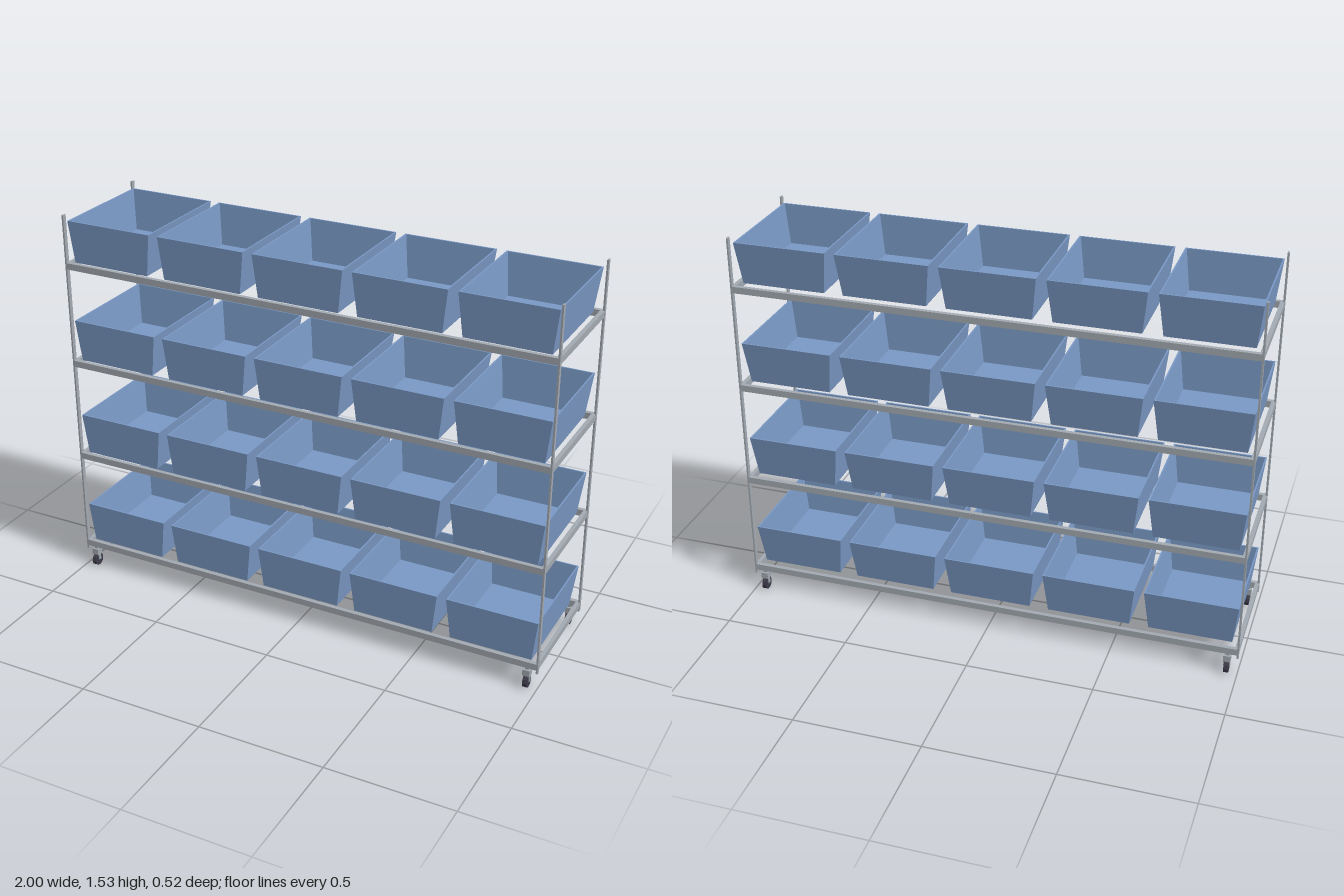
import * as THREE from 'three';

const frameMat = new THREE.MeshStandardMaterial({ color: 0xa3aab2 });
frameMat.name = 'galvanised grey';
const binMat = new THREE.MeshStandardMaterial({ color: 0x7a99c5, flatShading: true });
binMat.name = 'bin blue';
const tyreMat = new THREE.MeshStandardMaterial({ color: 0x3c3a48, flatShading: true });
tyreMat.name = 'tyre dark';

function mesh(name, geometry, material, x = 0, y = 0, z = 0) {
  const m = new THREE.Mesh(geometry, material);
  m.name = name;
  m.position.set(x, y, z);
  return m;
}

function box(name, w, h, d, x, y, z) {
  return mesh(name, new THREE.BoxGeometry(w, h, d), frameMat, x, y, z);
}

// Open tapered tub: rectangular rings run up the outside, over the rim and down the inside
function binGeometry() {
  const t = 0.006;
  const rings = [ // half width, back z, front z, height
    [0.163, -0.2, 0.224, 0],
    [0.182, -0.222, 0.231, 0.167],
    [0.182 - t, -0.222 + t, 0.231 - t, 0.167],
    [0.163 - t, -0.2 + t, 0.224 - t, t],
  ];
  const pos = [], idx = [];
  for (const [w, b, f, y] of rings) pos.push(-w, y, f, w, y, f, w, y, b, -w, y, b);
  for (let r = 0; r < 3; r++) {
    for (let i = 0; i < 4; i++) {
      const a = r * 4 + i, b = r * 4 + (i + 1) % 4;
      idx.push(a, b, b + 4, a, b + 4, a + 4);
    }
  }
  idx.push(0, 2, 1, 0, 3, 2, 12, 13, 14, 12, 14, 15); // underside and floor
  const g = new THREE.BufferGeometry();
  g.setAttribute('position', new THREE.Float32BufferAttribute(pos, 3));
  g.setIndex(idx);
  const flat = g.toNonIndexed();
  flat.computeVertexNormals();
  return flat;
}

function caster() {
  const g = new THREE.Group();
  g.name = 'caster';
  const wheel = new THREE.CylinderGeometry(0.026, 0.026, 0.018, 10).rotateZ(Math.PI / 2);
  g.add(mesh('wheel', wheel, tyreMat, 0, 0.026, 0));
  g.add(box('forkTop', 0.028, 0.026, 0.03, 0, 0.067, 0));
  for (const s of [-1, 1]) g.add(box('forkLeg', 0.003, 0.03, 0.014, s * 0.0115, 0.042, 0));
  g.add(box('stem', 0.014, 0.012, 0.014, 0, 0.085, 0));
  return g;
}

export function createModel() {
  const model = new THREE.Group();
  model.name = 'binRack';
  const binGeo = binGeometry();

  // Flat corner posts and casters
  for (const sx of [-1, 1]) {
    for (const sz of [-1, 1]) {
      model.add(box('post', 0.007, 1.463, 0.017, sx * 0.9965, 0.8035, sz * 0.236));
      const c = caster();
      c.position.set(sx * 0.957, 0, sz * 0.236);
      model.add(c);
    }
  }

  // Four levels of rails, each with five bins
  for (let level = 0; level < 4; level++) {
    const shelf = new THREE.Group();
    shelf.name = 'shelf';
    shelf.position.y = 0.1 + level * 0.41;
    for (const s of [-1, 1]) {
      shelf.add(box('longRail', 1.986, 0.026, 0.017, 0, 0, s * 0.236));
      shelf.add(box('sideRail', 0.016, 0.026, 0.457, s * 0.991, 0, 0));
    }
    for (let i = -2; i <= 2; i++) shelf.add(mesh('bin', binGeo, binMat, i * 0.4015, 0.0135, 0));
    model.add(shelf);
  }
  return model;
}
